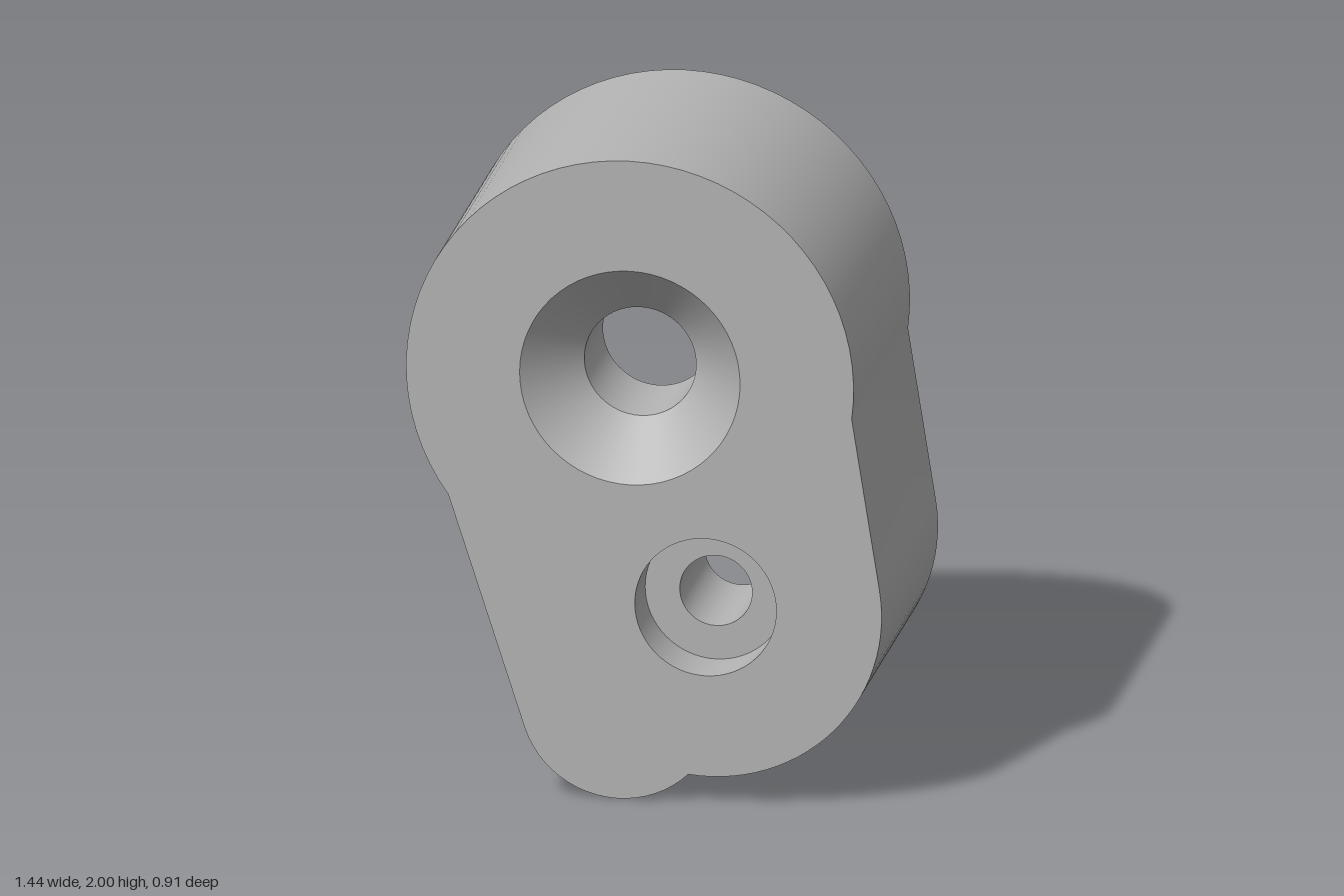
import * as THREE from 'three';
import { toCreasedNormals } from 'three/addons/utils/BufferGeometryUtils.js';

const BACK = -0.455, FRONT = 0.455;
const POCKET_FLOOR = -0.12, RECESS_FLOOR = -0.015, SINK = 0.287;
const UPPER = [-0.045, 1.32], LOWER = [0.185, 0.615], LOBE = [-0.08, 0.3];

// Points along an arc, angles in degrees, counterclockwise
function arc([cx, cy], r, from, to, n) {
  return Array.from({ length: n + 1 }, (_, i) => {
    const a = THREE.MathUtils.degToRad(from + ((to - from) * i) / n);
    return new THREE.Vector2(cx + r * Math.cos(a), cy + r * Math.sin(a));
  });
}

const circle = (c, r) => arc(c, r, 0, 360, 64).slice(0, -1);

// Band between two matching loops; faces outward when zA < zB, inward otherwise
function wall(loopA, zA, loopB, zB) {
  const pos = [], n = loopA.length;
  for (let i = 0; i < n; i++) {
    const j = (i + 1) % n;
    const a = [loopA[i].x, loopA[i].y, zA], b = [loopA[j].x, loopA[j].y, zA];
    const c = [loopB[j].x, loopB[j].y, zB], d = [loopB[i].x, loopB[i].y, zB];
    pos.push(...a, ...b, ...c, ...a, ...c, ...d);
  }
  const g = new THREE.BufferGeometry();
  g.setAttribute('position', new THREE.Float32BufferAttribute(pos, 3));
  return toCreasedNormals(g, Math.PI / 9);
}

// Flat face with holes, facing the front or the back
function face(loop, holes, z, toBack) {
  const shape = new THREE.Shape(loop);
  shape.holes = holes.map((h) => new THREE.Path(h));
  const g = new THREE.ShapeGeometry(shape);
  if (toBack) {
    g.index.array.reverse();
    g.computeVertexNormals();
  }
  return g.translate(0, 0, z);
}

export function createModel() {
  const model = new THREE.Group();
  const grey = new THREE.MeshStandardMaterial({ color: 0xb4b4b4 });
  grey.name = 'grey';
  const add = (name, geometry) => {
    const mesh = new THREE.Mesh(geometry, grey);
    mesh.name = name;
    model.add(mesh);
  };

  // Outer outline: large top round, small lobe, lower round
  const outline = [
    ...arc(UPPER, 0.68, -7.6, 215.8, 48),
    ...arc(LOBE, 0.3, 198.7, 315, 20),
    ...arc([0.19, 0.615], 0.53, 263.8, 368.9, 28),
  ];
  // Rear pocket outline
  const pocket = [
    ...arc(UPPER, 0.575, 2, 213, 48),
    ...arc([0.19, 0.615], 0.375, 214, 362.8, 36),
  ];
  const recess = circle(UPPER, 0.42);
  const coneMouth = circle(UPPER, 0.335);
  const bore = circle(UPPER, 0.17);
  const counterbore = circle(LOWER, 0.215);
  const screwHole = circle(LOWER, 0.11);

  // Shell
  add('outerWall', wall(outline, BACK, outline, FRONT));
  add('frontFace', face(outline, [coneMouth, counterbore], FRONT, false));
  add('rearRim', face(outline, [pocket], BACK, true));

  // Rear pocket and its round recess
  add('pocketWall', wall(pocket, POCKET_FLOOR, pocket, BACK));
  add('pocketFloor', face(pocket, [recess, screwHole], POCKET_FLOOR, true));
  add('recessWall', wall(recess, RECESS_FLOOR, recess, POCKET_FLOOR));
  add('recessFloor', face(recess, [bore], RECESS_FLOOR, true));

  // Large countersunk bore
  add('countersink', wall(coneMouth, FRONT, bore, SINK));
  add('boreWall', wall(bore, SINK, bore, RECESS_FLOOR));

  // Small counterbored hole
  add('counterboreWall', wall(counterbore, FRONT, counterbore, SINK));
  add('counterboreFloor', face(counterbore, [screwHole], SINK, false));
  add('screwHoleWall', wall(screwHole, SINK, screwHole, POCKET_FLOOR));

  return model;
}
